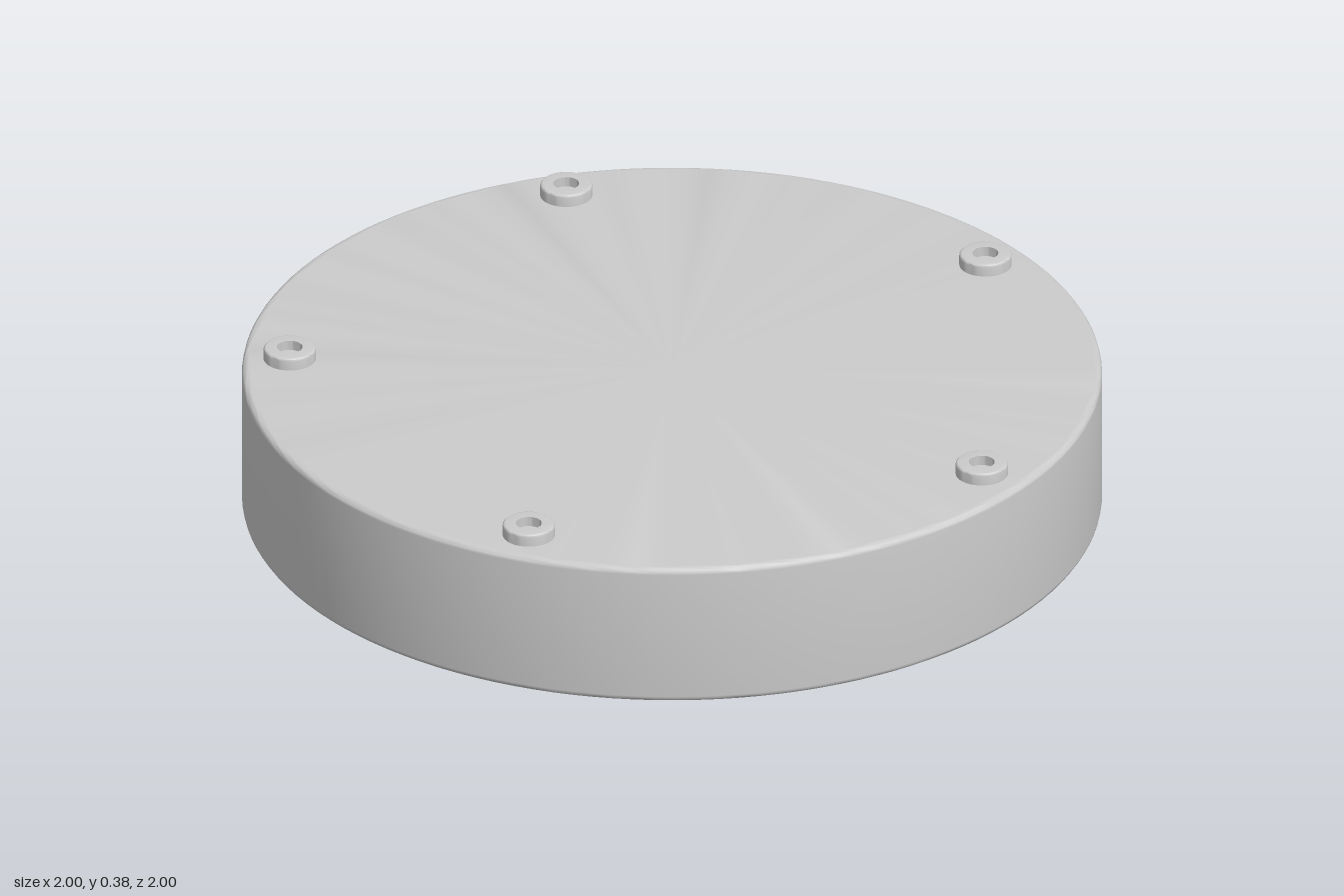
import * as THREE from 'three';
import { toCreasedNormals } from 'three/addons/utils/BufferGeometryUtils.js';

const material = new THREE.MeshStandardMaterial({ color: 0xcccccc });

// Quarter-round corner of radius f, centred on (x, y), from angle a0 to a1 (degrees)
function fillet(x, y, f, a0, a1, steps = 4) {
  return Array.from({ length: steps + 1 }, (_, i) => {
    const a = THREE.MathUtils.degToRad(a0 + ((a1 - a0) * i) / steps);
    return new THREE.Vector2(x + f * Math.cos(a), y + f * Math.sin(a));
  });
}

function turned(name, profile, segments) {
  const geometry = toCreasedNormals(new THREE.LatheGeometry(profile, segments), 0.6);
  const mesh = new THREE.Mesh(geometry, material);
  mesh.name = name;
  return mesh;
}

export function createModel() {
  const model = new THREE.Group();
  model.name = 'roundBase';
  const v = (x, y) => new THREE.Vector2(x, y);

  // Solid disc with softened rims; extra rings keep the flat faces evenly shaded
  const height = 0.35, f = 0.015;
  model.add(turned('disc', [
    v(0, 0), v(0.98, 0),
    ...fillet(1 - f, f, f, -90, 0),
    v(1, f + 0.005), v(1, height - f - 0.005),
    ...fillet(1 - f, height - f, f, 0, 90),
    v(0.98, height), v(0, height),
  ], 128));

  // Five small studs, each with a blind hole, stepped round the rim by 71 degrees
  const top = 0.38, e = 0.006;
  const studProfile = [
    v(0.061, height - 0.01), v(0.061, top - e - 0.002),
    ...fillet(0.061 - e, top - e, e, 0, 90, 3),
    v(0.053, top), v(0.03, top), v(0.03, 0.356), v(0, 0.356),
  ];
  for (let i = 0; i < 5; i++) {
    const a = THREE.MathUtils.degToRad(71 * i);
    const stud = turned(`stud${i + 1}`, studProfile, 40);
    stud.position.set(0.89 * Math.cos(a), 0, -0.89 * Math.sin(a));
    model.add(stud);
  }
  return model;
}
